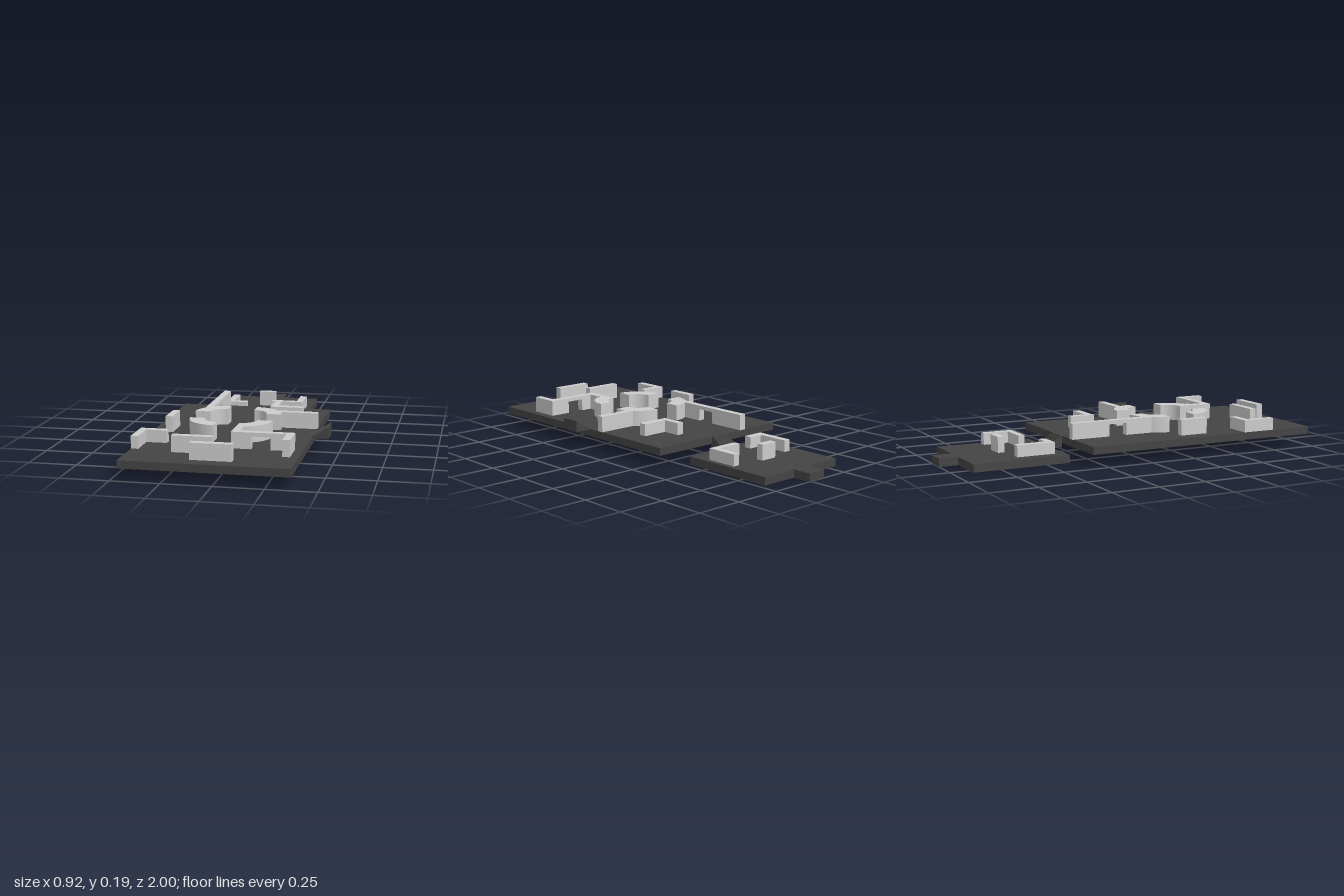
import * as THREE from 'three';

const dark = new THREE.MeshStandardMaterial({ color: 0x444444, flatShading: true });
const grey = new THREE.MeshStandardMaterial({ color: 0xcccccc, flatShading: true });

export function createModel() {
  const model = new THREE.Group();

  const add = (name, geometry, material) => {
    const mesh = new THREE.Mesh(geometry, material);
    mesh.name = name;
    model.add(mesh);
    return mesh;
  };

  // Box given by its limits on each axis
  const block = (name, material, x0, x1, y0, y1, z0, z1) =>
    add(name, new THREE.BoxGeometry(x1 - x0, y1 - y0, z1 - z0), material)
      .position.set((x0 + x1) / 2, (y0 + y1) / 2, (z0 + z1) / 2);

  // Stair block: profile climbs along +x from the origin, extruded along z
  const stairs = (name, run, base, rise, width, steps) => {
    const shape = new THREE.Shape();
    shape.moveTo(0, 0);
    shape.lineTo(run, 0);
    shape.lineTo(run, base + rise);
    for (let i = steps - 1; i >= 0; i--) {
      const x = (run * i) / steps;
      shape.lineTo(x, base + (rise * (i + 1)) / steps);
      shape.lineTo(x, base + (rise * i) / steps);
    }
    shape.closePath();
    return add(name, new THREE.ExtrudeGeometry(shape, { depth: width, bevelEnabled: false }), dark);
  };

  const FLOOR = 0.103, HIGH = 0.187, LOW = 0.167;
  const REAR = 0.042;

  // Floors
  block('mainFloor', dark, -0.46, 0.375, 0.063, FLOOR, -0.32, 1);
  block('rearFloor', dark, -0.305, 0.217, 0, REAR, -0.898, -0.374);
  block('rearExit', dark, -0.095, 0.01, 0, REAR, -1, -0.898);

  // Stairs joining the two floors, and stairs at the side
  const link = stairs('connectingStairs', 0.09, 0.003, 0.06, 0.105, 8);
  link.rotation.y = -Math.PI / 2;
  link.position.set(0.01, 0.04, -0.41);
  const side = stairs('sideStairs', 0.085, 0.004, 0.056, 0.107, 9);
  side.position.set(0.375, 0.098, 0.25);

  // Ring of four quarter-circle walls
  const quarter = (name, x, z, start) => {
    const shape = new THREE.Shape();
    shape.absarc(0, 0, 0.158, start, start + Math.PI / 2, false);
    shape.absarc(0, 0, 0.08, start + Math.PI / 2, start, true);
    shape.closePath();
    const geometry = new THREE.ExtrudeGeometry(shape, { depth: HIGH - FLOOR, bevelEnabled: false, curveSegments: 12 });
    geometry.rotateX(-Math.PI / 2);
    add(name, geometry, grey).position.set(x, FLOOR, z);
  };
  quarter('ringBackLeft', 0.035, 0.236, 0);
  quarter('ringBackRight', -0.106, 0.236, Math.PI / 2);
  quarter('ringFrontRight', -0.095, 0.39, Math.PI);
  quarter('ringFrontLeft', 0.02, 0.39, Math.PI * 1.5);

  // Straight walls on the main floor: x0, x1, z0, z1, top
  const mainWalls = [
    ['sideWall', 0.16, 0.375, 0.138, 0.175, HIGH],
    ['coverWall', -0.386, -0.349, 0.236, 0.39, HIGH],
    ['frontWall', -0.248, -0.042, 0.76, 0.797, HIGH],
    ['frontWall', -0.127, 0.08, 0.887, 0.925, HIGH],
    ['backCornerWall', 0.085, 0.122, -0.178, -0.04, LOW],
    ['backCornerWall', 0.122, 0.264, -0.08, -0.04, LOW],
    ['frontCornerWall', -0.46, -0.423, 0.585, 0.766, LOW],
    ['frontCornerWall', -0.423, -0.317, 0.585, 0.622, LOW],
    // Long wall with a doorway
    ['longWall', -0.233, -0.196, -0.325, -0.11, HIGH],
    ['longWall', -0.233, -0.196, -0.01, 0.2, HIGH],
    // Bent wall running from the ring, with a doorway
    ['bentWall', 0.02, 0.06, 0.5, 0.667, HIGH],
    ['bentWall', 0.06, 0.12, 0.63, 0.667, HIGH],
    ['bentWall', 0.217, 0.296, 0.63, 0.667, HIGH],
    ['bentWall', 0.296, 0.333, 0.63, 0.785, HIGH],
  ];
  for (const [name, x0, x1, z0, z1, top] of mainWalls) {
    block(name, grey, x0, x1, FLOOR, top, z0, z1);
  }
  block('longWallLintel', grey, -0.233, -0.196, LOW, HIGH, -0.11, -0.01);
  block('bentWallLintel', grey, 0.12, 0.217, LOW, HIGH, 0.63, 0.667);

  // Walls on the rear floor
  const rearWalls = [
    ['rearCoverWall', -0.09, 0.005, -0.68, -0.643, 0.125],
    ['rearRightCornerWall', -0.243, -0.206, -0.638, -0.43, FLOOR],
    ['rearRightCornerWall', -0.206, -0.127, -0.468, -0.43, FLOOR],
    ['rearLeftCornerWall', 0.153, 0.19, -0.66, -0.487, FLOOR],
    ['rearLeftCornerWall', 0.01, 0.153, -0.522, -0.487, FLOOR],
  ];
  for (const [name, x0, x1, z0, z1, top] of rearWalls) {
    block(name, grey, x0, x1, REAR, top, z0, z1);
  }

  return model;
}
